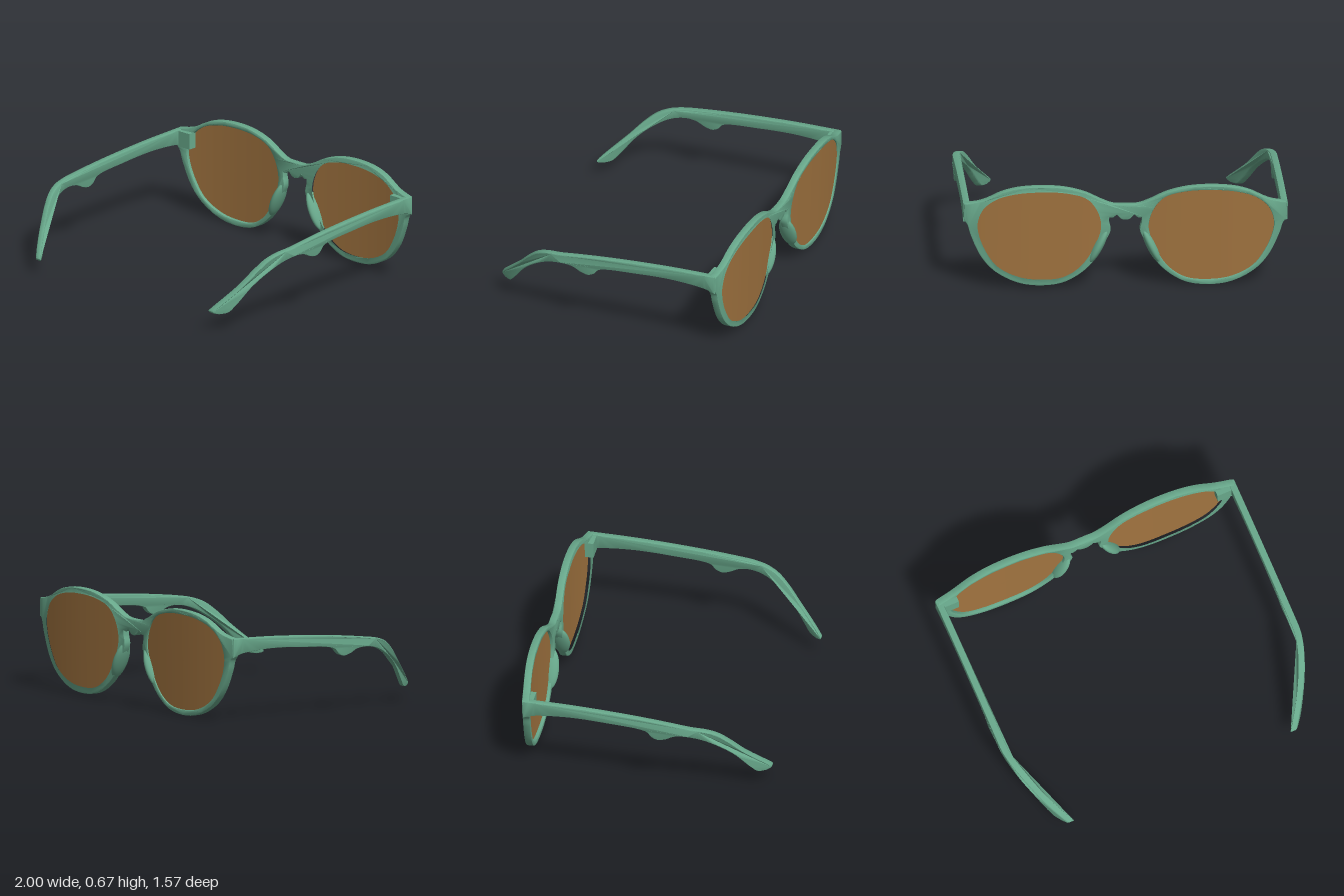
import * as THREE from 'three';
import { toCreasedNormals } from 'three/addons/utils/BufferGeometryUtils.js';
import { ParametricGeometry } from 'three/addons/geometries/ParametricGeometry.js';

const frameMat = new THREE.MeshStandardMaterial({ color: 0x68a88b });
const lensMat = new THREE.MeshStandardMaterial({ color: 0xa0733f, side: THREE.DoubleSide });

// Smooth curve through 2D points
function curve(points, closed = false) {
  return new THREE.CatmullRomCurve3(points.map(([x, y]) => new THREE.Vector3(x, y, 0)), closed);
}
function smooth(points, n, closed = false) {
  return curve(points, closed).getPoints(n).map((p) => new THREE.Vector2(p.x, p.y));
}

// Move every vertex by a rule, then rebuild the normals
function warp(geo, rule) {
  const pos = geo.attributes.position;
  const v = new THREE.Vector3();
  for (let i = 0; i < pos.count; i++) {
    v.fromBufferAttribute(pos, i);
    rule(v);
    pos.setXYZ(i, v.x, v.y, v.z);
  }
  return toCreasedNormals(geo, 0.6);
}

// Front face of the frame: wraps back at the sides, leans at the bottom
function faceZ(x, y) {
  const c = Math.abs(x);
  const wrap = (c > 0.5 ? 0.15 : 0.085) * (c - 0.5) ** 2;
  return -0.78 + wrap - 0.009 * Math.exp(-((c / 0.06) ** 2)) + 0.015 * (1 - y / 0.67);
}

const lensOutline = [
  [0.143, 0.4], [0.168, 0.5], [0.235, 0.585], [0.36, 0.626], [0.52, 0.636], [0.68, 0.622],
  [0.8, 0.583], [0.88, 0.515], [0.914, 0.42], [0.905, 0.34], [0.865, 0.24], [0.79, 0.135],
  [0.66, 0.066], [0.52, 0.046], [0.38, 0.06], [0.28, 0.12], [0.21, 0.21], [0.163, 0.31],
];

// Frame front: rims, bridge and end pieces in one shape
function makeFrame() {
  const top = smooth([
    [0, 0.538], [0.08, 0.542], [0.15, 0.57], [0.25, 0.62], [0.38, 0.655], [0.52, 0.665],
    [0.66, 0.654], [0.76, 0.626], [0.85, 0.58], [0.9, 0.56], [0.985, 0.543],
  ], 60);
  const side = smooth([
    [0.992, 0.535], [0.992, 0.44], [0.97, 0.405], [0.95, 0.34], [0.885, 0.2], [0.8, 0.105],
    [0.66, 0.032], [0.52, 0.012], [0.38, 0.03], [0.27, 0.09], [0.19, 0.17], [0.125, 0.29],
    [0.09, 0.37], [0.1, 0.425],
  ], 80);
  const bridge = smooth([[0.1, 0.455], [0.08, 0.452], [0.062, 0.465], [0.053, 0.472]], 8)
    .concat(smooth([[0.045, 0.462], [0.025, 0.444], [0, 0.438]], 8));
  const half = [...top, ...side, ...bridge];
  const mirrored = half.slice(1, -1).reverse().map((p) => new THREE.Vector2(-p.x, p.y));
  const shape = new THREE.Shape([...half, ...mirrored]);
  for (const s of [1, -1]) {
    const hole = smooth(lensOutline, 90, true).slice(0, -1);
    shape.holes.push(new THREE.Path(hole.map((p) => new THREE.Vector2(s * p.x, p.y))));
  }
  const bevel = 0.006;
  const geo = new THREE.ExtrudeGeometry(shape, {
    depth: 0.046 - 2 * bevel, bevelThickness: bevel, bevelSize: bevel,
    bevelOffset: -bevel, bevelSegments: 2,
  });
  return warp(geo, (v) => { v.z += bevel + faceZ(v.x, v.y); });
}

// One curved sheet of a lens
function makeLens(side, depth) {
  const edge = curve(lensOutline, true);
  const p = new THREE.Vector3();
  return new ParametricGeometry((u, v, target) => {
    edge.getPoint(u, p);
    const r = v * 1.008;
    const x = side * (0.525 + (p.x - 0.525) * r);
    const y = 0.345 + (p.y - 0.345) * r;
    target.set(x, y, faceZ(x, y) + depth);
  }, 72, 10);
}

// Temple arm: side profile in (z, y), then bent inward behind the ear
function makeTemple(side) {
  const top = smooth([
    [-0.735, 0.543], [-0.4, 0.532], [0, 0.503], [0.3, 0.468], [0.4, 0.45], [0.47, 0.42],
    [0.54, 0.362], [0.62, 0.277], [0.765, 0.135], [0.777, 0.118], [0.77, 0.107],
  ], 90);
  const bottom = smooth([
    [0.745, 0.1], [0.7, 0.108], [0.66, 0.15], [0.57, 0.262], [0.48, 0.337], [0.38, 0.392],
    [0.28, 0.412], [0.21, 0.404], [0.16, 0.38], [0.11, 0.369], [0.07, 0.385], [0.035, 0.42],
    [-0.2, 0.449], [-0.45, 0.462], [-0.65, 0.45], [-0.695, 0.44], [-0.735, 0.425],
  ], 110);
  const outline = [...top, ...bottom].map((p) => new THREE.Vector2(-p.x, p.y));
  const bevel = 0.006;
  const width = 0.042;
  const geo = new THREE.ExtrudeGeometry(new THREE.Shape(outline), {
    depth: width - 2 * bevel, bevelThickness: bevel, bevelSize: bevel,
    bevelOffset: -bevel, bevelSegments: 2,
  });
  return warp(geo, (v) => {
    const z = -v.x;
    const t = Math.max(0, (z - 0.27) / 0.5);
    const centre = 0.977 - 0.23 * t ** 1.75;
    v.set(side * centre + v.z + bevel - width / 2, v.y, z);
  });
}

export function createModel() {
  const model = new THREE.Group();
  model.name = 'sunglasses';
  const add = (name, geo, mat = frameMat) => {
    const mesh = new THREE.Mesh(geo, mat);
    mesh.name = name;
    model.add(mesh);
    return mesh;
  };

  add('frameFront', makeFrame());

  for (const [side, label] of [[1, 'left'], [-1, 'right']]) {
    add(label + 'LensFront', makeLens(side, 0.008), lensMat);
    add(label + 'LensBack', makeLens(side, 0.026), lensMat);
    add(label + 'Temple', makeTemple(side));

    // Hinge block inside the end piece
    add(label + 'Hinge', new THREE.BoxGeometry(0.1, 0.1, 0.055))
      .position.set(side * 0.913, 0.487, -0.703);

    // Nose pad hugging the inner rim
    const pad = add(label + 'NosePad', new THREE.SphereGeometry(1, 28, 18));
    pad.scale.set(0.03, 0.128, 0.054);
    pad.position.set(side * 0.163, 0.262, -0.734);
    pad.rotation.z = side * 0.45;
  }

  // The glasses sit at a very slight tilt
  model.rotation.z = 0.017;
  return model;
}
